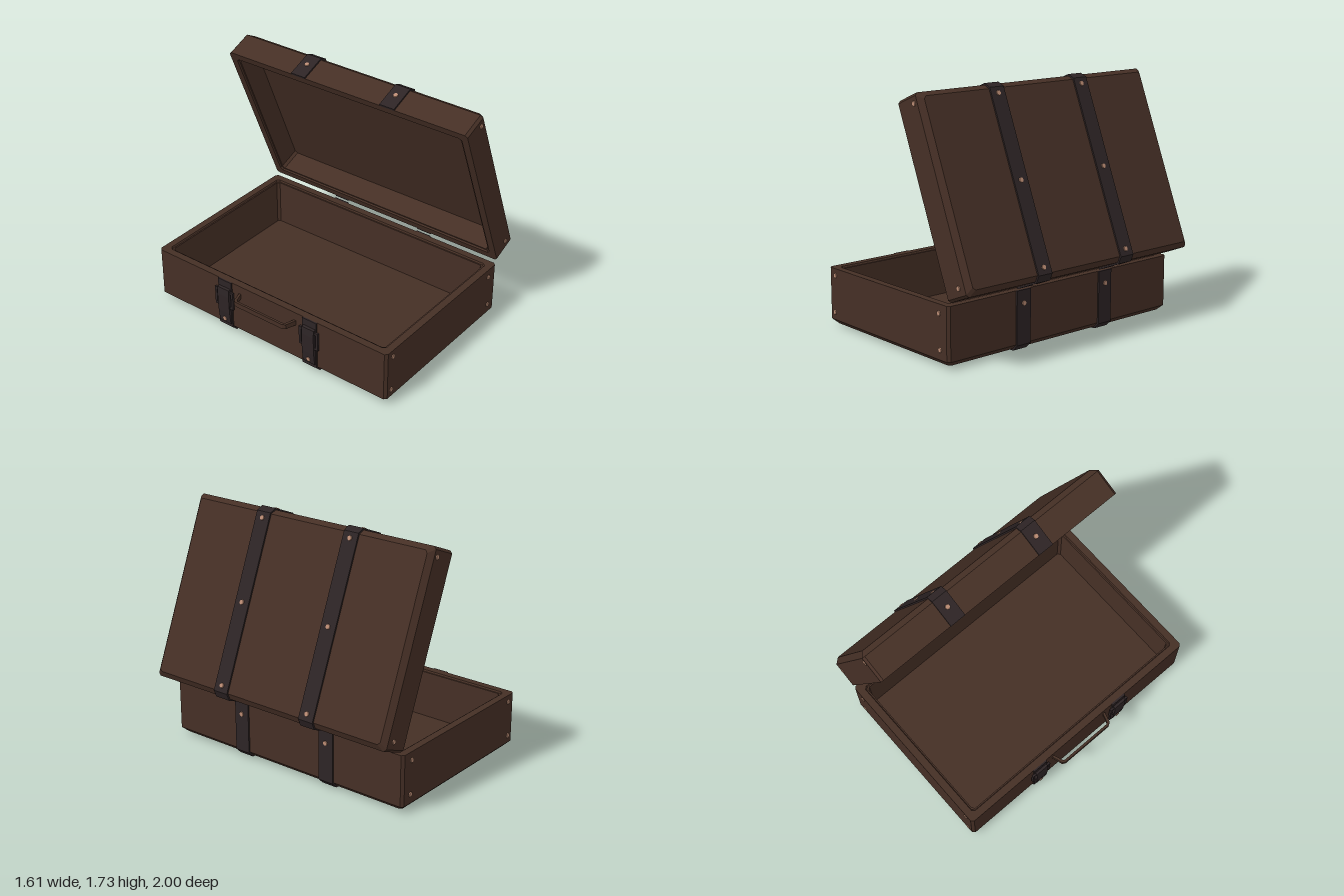
import * as THREE from 'three';

const leather = new THREE.MeshStandardMaterial({ color: 0x452f25 });
leather.name = 'brownLeather';
const strapMat = new THREE.MeshStandardMaterial({ color: 0x2d2425 });
strapMat.name = 'darkStrap';
const copper = new THREE.MeshStandardMaterial({ color: 0xb98a72 });
copper.name = 'copperRivet';

const HX = 0.652, HZ = 0.993; // half sizes of both shells
const BEVEL = 0.035, T = 0.011; // bottom bevel, strap thickness
const STRAP_Z = [-0.37, 0.372], STRAP_W = 0.118;
const X = new THREE.Vector3(1, 0, 0), Y = new THREE.Vector3(0, 1, 0), Z = new THREE.Vector3(0, 0, 1);

function addMesh(parent, name, geometry, material) {
  const m = new THREE.Mesh(geometry, material);
  m.name = name;
  parent.add(m);
  return m;
}

// Open tray: cut-corner outlines lofted up the outside, over the rim and down inside
function trayGeometry(h) {
  const rings = [[null, 0], [BEVEL, 0], [0, BEVEL], [0, h], [0.052, h], [0.058, h - 0.012],
    [0.068, h - 0.012], [0.074, 0.05], [null, 0.05]];
  const outline = ([inset, y]) => {
    if (inset === null) return Array.from({ length: 8 }, () => [0, y, 0]);
    const x = HX - inset, z = HZ - inset, c = 0.018;
    return [[x, -z + c], [x, z - c], [x - c, z], [-x + c, z], [-x, z - c], [-x, -z + c], [-x + c, -z], [x - c, -z]]
      .map(([px, pz]) => [px, y, pz]);
  };
  const loops = rings.map(outline), pos = [];
  for (let i = 0; i < loops.length - 1; i++) {
    for (let j = 0; j < 8; j++) {
      const k = (j + 1) % 8;
      const a = loops[i][j], b = loops[i][k], c = loops[i + 1][k], d = loops[i + 1][j];
      if (rings[i + 1][0] !== null) pos.push(...a, ...d, ...c);
      else pos.push(...a, ...c, ...b);
      if (rings[i][0] !== null && rings[i + 1][0] !== null) pos.push(...a, ...c, ...b);
    }
  }
  const g = new THREE.BufferGeometry();
  g.setAttribute('position', new THREE.Float32BufferAttribute(pos, 3));
  g.computeVertexNormals();
  return g;
}

// U-shaped band hugging the tray
function strapGeometry(h) {
  const u = (o) => [[-HX - o, h], [-HX - o, BEVEL - o / 2], [-HX + BEVEL - o / 2, -o],
    [HX - BEVEL + o / 2, -o], [HX + o, BEVEL - o / 2], [HX + o, h]];
  const pts = [...u(T), ...u(-0.004).reverse()].map(([x, y]) => new THREE.Vector2(x, y));
  const g = new THREE.ExtrudeGeometry(new THREE.Shape(pts), { depth: STRAP_W, bevelEnabled: false });
  return g.translate(0, 0, -STRAP_W / 2);
}

function rivet(parent, x, y, z, normal) {
  const m = addMesh(parent, 'rivet', new THREE.CylinderGeometry(0.016, 0.02, 0.012, 8), copper);
  m.position.set(x, y, z);
  m.quaternion.setFromUnitVectors(Y, normal);
}

// One half of the case with its straps and rivets
function half(name, h, endRivets, sideY, sides) {
  const g = new THREE.Group();
  g.name = name;
  addMesh(g, name + 'Shell', trayGeometry(h), leather);
  for (const z of STRAP_Z) {
    addMesh(g, name + 'Strap', strapGeometry(h), strapMat).position.z = z;
    for (const x of [-0.575, 0, 0.58]) rivet(g, x, -T, z, Y.clone().negate());
    for (const s of sides) rivet(g, s * (HX + T), sideY, z, X.clone().multiplyScalar(s));
  }
  for (const s of [-1, 1])
    for (const [x, y] of endRivets) rivet(g, x, y, s * HZ, Z.clone().multiplyScalar(s));
  return g;
}

function polygon(pts) {
  return new THREE.Shape(pts.map(([x, y]) => new THREE.Vector2(x, y)));
}

export function createModel() {
  const model = new THREE.Group();
  model.name = 'openSuitcase';

  // Lower half
  const base = half('base', 0.4, [[-0.58, 0.35], [-0.593, 0.088], [0.557, 0.338], [0.567, 0.1]], 0.31, [1]);
  base.position.set(-0.063, 0.012, 0);
  model.add(base);

  // Lid, swung open behind the hinge edge
  const lid = half('lid', 0.225, [[0.59, 0.07], [-0.582, 0.095]], 0.115, [-1, 1]);
  lid.position.set(0.558, 1.125, 0);
  lid.rotation.z = THREE.MathUtils.degToRad(112.3);
  model.add(lid);

  // Carrying handle: a bent flat bar
  const bar = polygon([[-0.252, 0], [-0.227, 0.08], [-0.205, 0.093], [0.205, 0.093], [0.227, 0.08], [0.252, 0],
    [0.234, 0], [0.211, 0.068], [0.198, 0.076], [-0.198, 0.076], [-0.211, 0.068], [-0.234, 0]]);
  const handleGeo = new THREE.ExtrudeGeometry(bar, { depth: 0.036, bevelEnabled: false });
  handleGeo.applyMatrix4(new THREE.Matrix4().makeBasis(Z, X.clone().negate(), Y.clone().negate()));
  addMesh(model, 'handle', handleGeo, leather).position.set(-0.713, 0.35, 0);

  // Buckles on the handle side
  for (const z of STRAP_Z) {
    const buckle = new THREE.Group();
    buckle.name = 'buckle';
    buckle.position.set(-0.715 - T, 0, z);
    model.add(buckle);

    const frame = polygon([[-0.08, 0.2], [0.08, 0.2], [0.08, 0.34], [-0.08, 0.34]]);
    frame.holes.push(polygon([[-0.062, 0.218], [-0.062, 0.322], [0.062, 0.322], [0.062, 0.218]]));
    const frameGeo = new THREE.ExtrudeGeometry(frame, { depth: 0.016, bevelEnabled: false });
    frameGeo.applyMatrix4(new THREE.Matrix4().makeBasis(Z, Y, X.clone().negate()));
    addMesh(buckle, 'buckleFrame', frameGeo, strapMat).position.x = 0.004;

    // Loose strap end, thinner towards the bottom
    const tongue = polygon([[0.004, 0.36], [-0.018, 0.355], [-0.022, 0.3], [-0.018, 0.16], [-0.008, 0.07], [0.004, 0.06]]);
    const tongueGeo = new THREE.ExtrudeGeometry(tongue, { depth: 0.1, bevelEnabled: false });
    addMesh(buckle, 'strapEnd', tongueGeo.translate(0, 0, -0.05), strapMat);
    rivet(buckle, -0.011, 0.1, 0, X.clone().negate());
  }
  return model;
}
